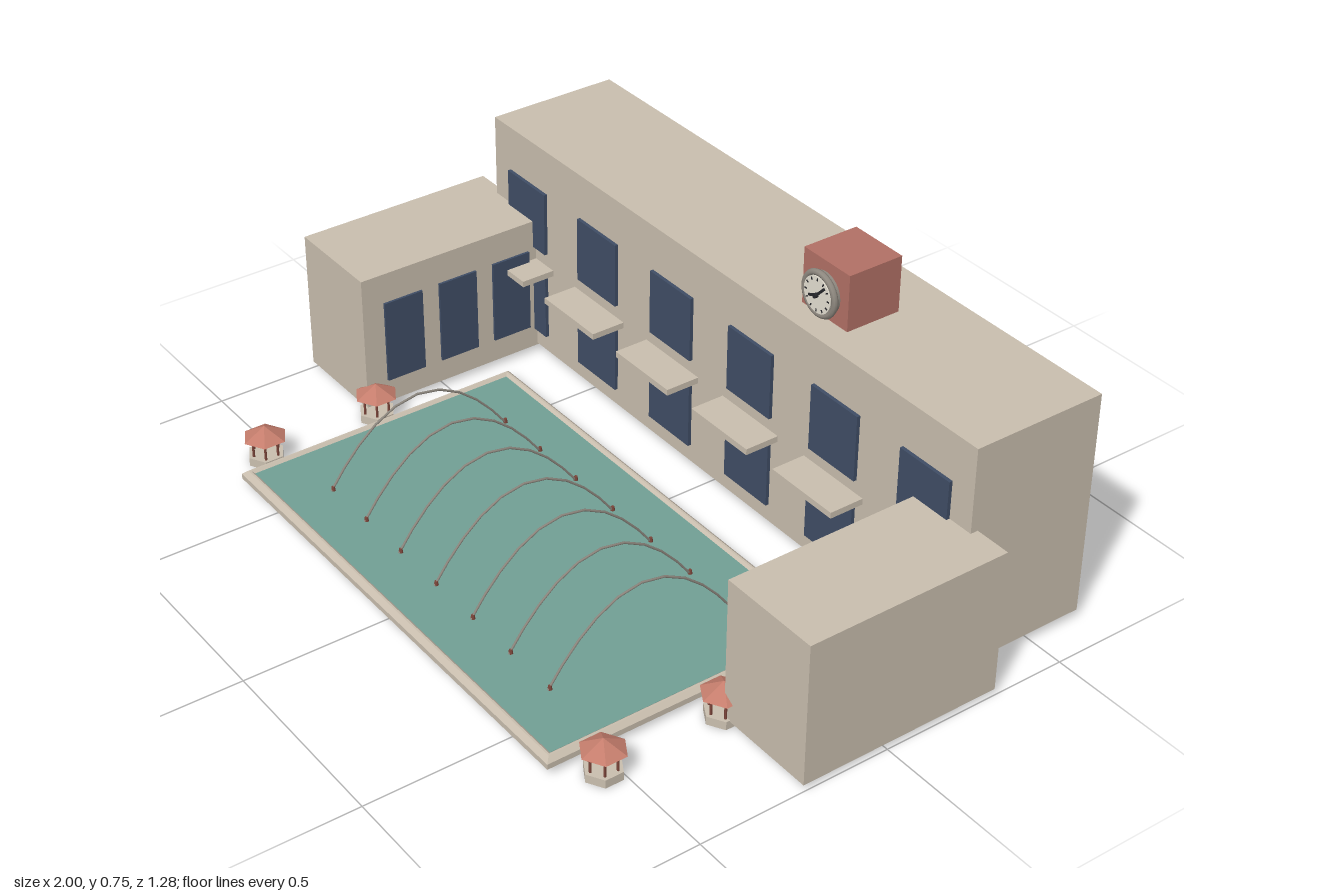
import * as THREE from 'three';

const mat = (name, color) => {
  const m = new THREE.MeshStandardMaterial({ color });
  m.name = name;
  return m;
};

export function createModel() {
  const root = new THREE.Group();
  root.name = 'stationPlaza';

  const stone = mat('stone', 0xc9beae);
  const brick = mat('brick', 0xb27065);
  const roofTile = mat('roofTile', 0xc47d6c);
  const glass = mat('glass', 0x3f4d65);
  const water = mat('water', 0x719f95);
  const wood = mat('wood', 0x7a4439);
  const metal = mat('metal', 0x8f8980);
  const cream = mat('cream', 0xe4dfd2);
  const black = mat('black', 0x25262a);
  [roofTile, stone, wood].forEach((m) => { m.flatShading = true; });

  const add = (name, geo, material, x = 0, y = 0, z = 0, parent = root) => {
    const mesh = new THREE.Mesh(geo, material);
    mesh.name = name;
    mesh.position.set(x, y, z);
    parent.add(mesh);
    return mesh;
  };
  // Box given by its minimum and maximum on each axis
  const box = (name, material, x0, x1, y0, y1, z0, z1, parent) =>
    add(name, new THREE.BoxGeometry(x1 - x0, y1 - y0, z1 - z0), material,
      (x0 + x1) / 2, (y0 + y1) / 2, (z0 + z1) / 2, parent);

  // Main hall and side wings
  box('mainHall', stone, -0.905, 0.905, 0.023, 0.608, -0.64, -0.285);
  for (const s of [-1, 1]) {
    const wing = box('wing', stone, -0.135, 0.135, 0.018, 0.389, -0.305, 0.23);
    wing.position.x = s * 0.865;
    // Windows facing the courtyard
    for (const z of [0.115, -0.045, -0.205]) {
      add('wingWindow', new THREE.BoxGeometry(0.009, 0.225, 0.11), glass, s * 0.728, 0.195, z);
    }
  }

  // Two rows of windows with a canopy between them in each bay
  for (let i = 0; i < 6; i++) {
    const x = (i - 2.5) * 0.303;
    box('upperWindow', glass, x - 0.08, x + 0.08, 0.315, 0.488, -0.285, -0.276);
    box('lowerWindow', glass, x - 0.08, x + 0.08, 0.07, 0.246, -0.285, -0.276);
    box('canopy', stone, x - 0.104, x + 0.104, 0.262, 0.278, -0.29, -0.193);
  }

  // Clock tower
  box('clockTower', brick, 0.238, 0.396, 0.605, 0.753, -0.505, -0.355);
  const clock = new THREE.Group();
  clock.name = 'clock';
  clock.position.set(0.316, 0.674, -0.355);
  root.add(clock);
  const disc = (name, r, depth, material, z) =>
    add(name, new THREE.CylinderGeometry(r, r, depth, 32), material, 0, 0, z, clock).rotateX(Math.PI / 2);
  disc('clockBody', 0.052, 0.02, metal, 0.01);
  add('clockRim', new THREE.TorusGeometry(0.052, 0.008, 8, 32), metal, 0, 0, 0.016, clock);
  disc('clockFace', 0.046, 0.004, cream, 0.022);
  for (let i = 0; i < 12; i++) {
    const a = (i * Math.PI) / 6;
    add('hourMark', new THREE.BoxGeometry(0.003, 0.007, 0.002), black,
      Math.sin(a) * 0.039, Math.cos(a) * 0.039, 0.0245, clock).rotation.z = -a;
  }
  for (const [name, len, angle] of [['minuteHand', 0.038, -0.75], ['hourHand', 0.028, 1.95]]) {
    const hand = add(name, new THREE.BoxGeometry(0.006, len, 0.003).translate(0, len / 2, 0),
      black, 0, 0, 0.026, clock);
    hand.rotation.z = angle;
  }
  disc('clockHub', 0.006, 0.01, black, 0.028);

  // Pool: floor slab, bevelled coping frame and water
  const zc = 0.248;
  add('poolFloor', new THREE.BoxGeometry(1.27, 0.022, 0.755), stone, 0, 0.019, zc);
  const rect = (path, hx, hz) => path.moveTo(-hx, -hz).lineTo(hx, -hz).lineTo(hx, hz).lineTo(-hx, hz).closePath();
  const frame = rect(new THREE.Shape(), 0.637, 0.376);
  frame.holes.push(rect(new THREE.Path(), 0.632, 0.371));
  const coping = add('poolCoping', new THREE.ExtrudeGeometry(frame, {
    depth: 0.014, bevelEnabled: true, bevelThickness: 0.011, bevelSize: 0.012, bevelSegments: 1,
  }), stone, 0, 0.019, zc);
  coping.rotation.x = -Math.PI / 2;
  add('water', new THREE.BoxGeometry(1.25, 0.006, 0.73), water, 0, 0.035, zc);

  // Arched water pipes with a nozzle at each end
  for (let i = -3; i <= 3; i++) {
    const x = i * 0.1517;
    const arc = new THREE.QuadraticBezierCurve3(
      new THREE.Vector3(x, 0.038, 0.5), new THREE.Vector3(x, 0.4, 0.25), new THREE.Vector3(x, 0.038, 0));
    add('fountainArc', new THREE.TubeGeometry(arc, 10, 0.003, 6), metal);
    for (const z of [0, 0.495]) {
      add('nozzle', new THREE.CylinderGeometry(0.004, 0.006, 0.012, 8), wood, x, 0.043, z);
    }
  }

  // Four hexagonal pavilions
  for (const x of [-0.71, 0.71]) {
    for (const z of [0.217, 0.535]) {
      const pavilion = new THREE.Group();
      pavilion.name = 'pavilion';
      pavilion.position.set(x, 0, z);
      root.add(pavilion);
      add('pavilionBase', new THREE.CylinderGeometry(0.047, 0.047, 0.022, 6), stone, 0, 0.011, 0, pavilion);
      for (let i = 0; i < 6; i++) {
        const a = (i * Math.PI) / 3;
        add('pavilionPost', new THREE.CylinderGeometry(0.0035, 0.0035, 0.048, 6), wood,
          Math.sin(a) * 0.034, 0.046, Math.cos(a) * 0.034, pavilion);
      }
      add('pavilionRoof', new THREE.ConeGeometry(0.056, 0.031, 6), roofTile, 0, 0.083, 0, pavilion);
    }
  }
  return root;
}
